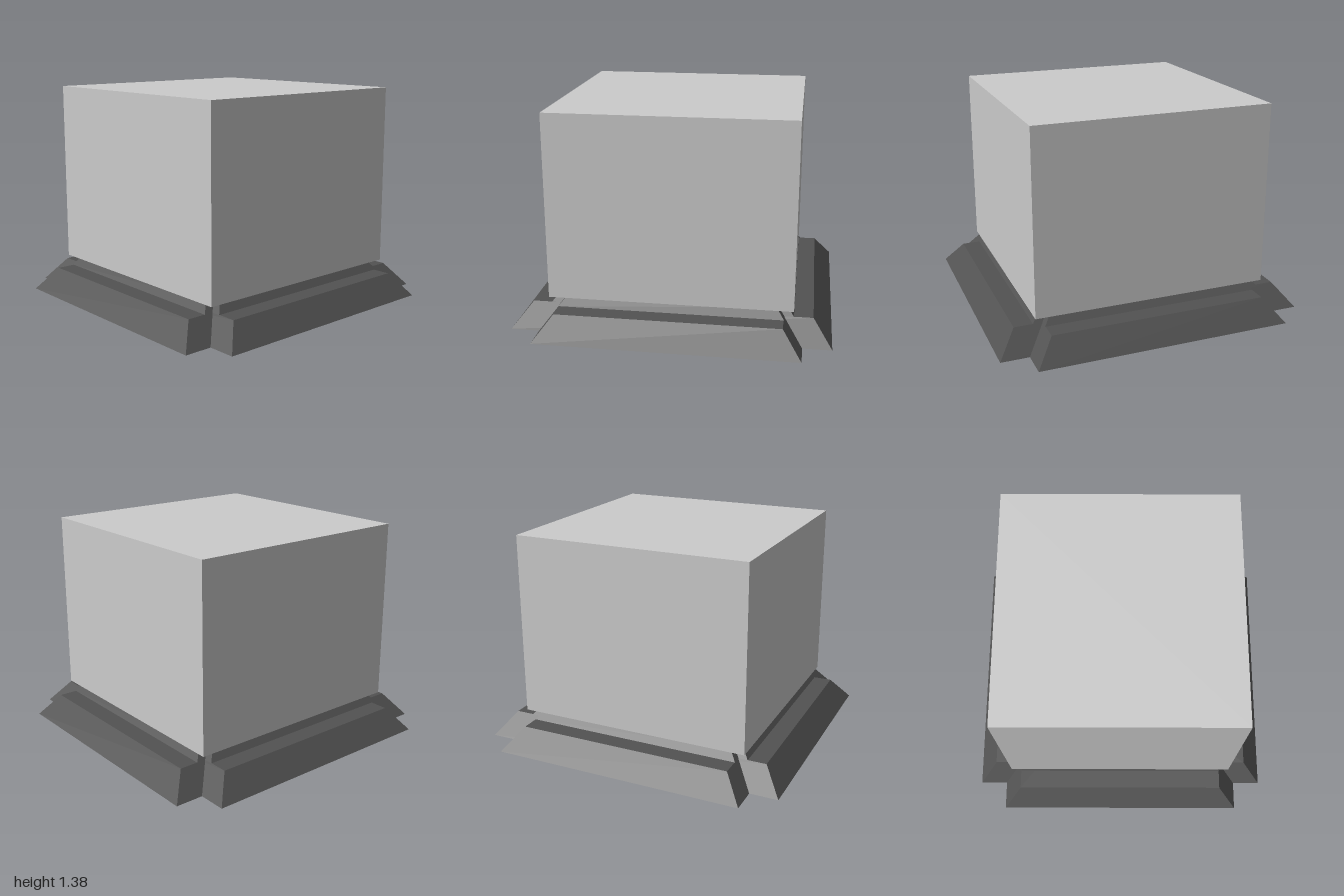
import * as THREE from 'three';

const darkMat = new THREE.MeshStandardMaterial({ color: 0x525252, flatShading: true });
const greyMat = new THREE.MeshStandardMaterial({ color: 0xcccccc, flatShading: true });

// Box from y0 to y1 whose upper face is drawn in by `inset` on every side
function taperedSlab(halfX, halfZ, y0, y1, inset) {
  const geo = new THREE.BoxGeometry(2 * halfX, y1 - y0, 2 * halfZ);
  geo.translate(0, (y0 + y1) / 2, 0);
  const p = geo.attributes.position;
  for (let i = 0; i < p.count; i++) {
    if (p.getY(i) < (y0 + y1) / 2) continue;
    p.setX(i, p.getX(i) - Math.sign(p.getX(i)) * inset);
    p.setZ(i, p.getZ(i) - Math.sign(p.getZ(i)) * inset);
  }
  geo.computeVertexNormals();
  return geo;
}

// Two equal slabs crossed at right angles, leaving notched corners
function crossedTier(name, long, short, y0, y1, inset) {
  const tier = new THREE.Group();
  tier.name = name;
  const slab = taperedSlab(short, long, y0, y1, inset);
  for (const [part, turn] of [['frontBackSlab', 0], ['leftRightSlab', Math.PI / 2]]) {
    const mesh = new THREE.Mesh(slab, darkMat);
    mesh.name = part;
    mesh.rotation.y = turn;
    tier.add(mesh);
  }
  return tier;
}

export function createModel() {
  const model = new THREE.Group();
  model.name = 'displayBlock';

  // Stepped plinth
  model.add(crossedTier('lowerPlinth', 1, 0.82, 0, 0.15, 0.118));
  model.add(crossedTier('upperPlinth', 0.763, 0.705, 0.15, 0.21, 0.048));

  // Large block resting on the plinth
  const block = new THREE.Mesh(new THREE.BoxGeometry(1.526, 1.175, 1.526), greyMat);
  block.name = 'block';
  block.position.y = 0.21 + 1.175 / 2;
  model.add(block);

  return model;
}
